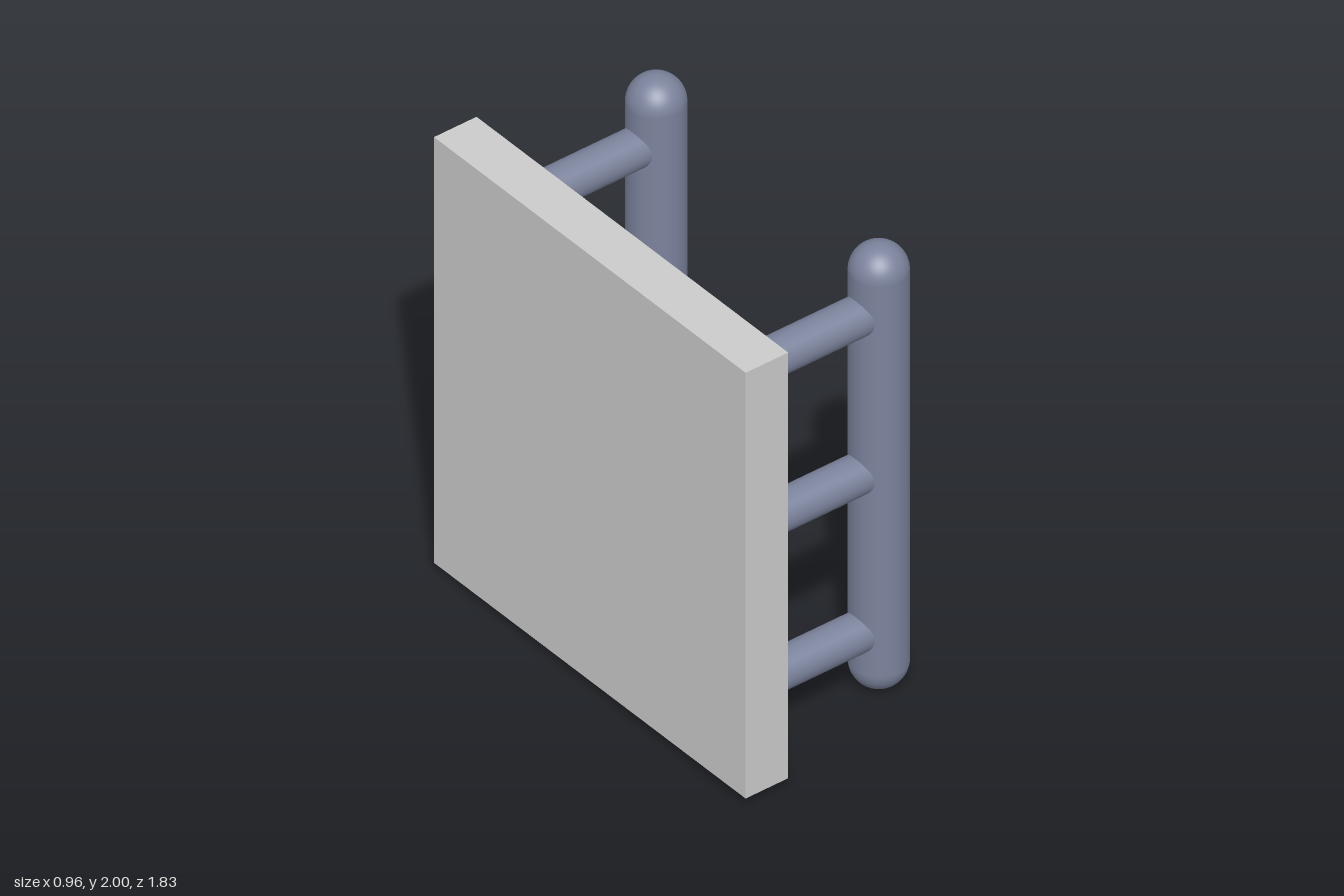
import * as THREE from 'three';

export function createModel() {
  const group = new THREE.Group();
  const grey = new THREE.MeshStandardMaterial({ color: 0xcccccc });
  const blue = new THREE.MeshStandardMaterial({ color: 0x7b839c });

  const add = (name, geometry, material, x, y, z) => {
    const mesh = new THREE.Mesh(geometry, material);
    mesh.name = name;
    mesh.position.set(x, y, z);
    group.add(mesh);
    return mesh;
  };

  // Door panel
  const panelFace = -0.282;
  add('panel', new THREE.BoxGeometry(0.198, 1.94, 1.826), grey, panelFace - 0.099, 1.004, 0);

  // Round-ended upright bars, each held by three standoff posts
  const railX = 0.364, railR = 0.114, postR = 0.08;
  const railGeometry = new THREE.CapsuleGeometry(railR, 2 - 2 * railR, 16, 48);
  const postStart = panelFace - 0.01;
  const postLength = railX - postStart;
  const postGeometry = new THREE.CylinderGeometry(postR, postR, postLength, 40).rotateZ(Math.PI / 2);

  for (const z of [0.63, -0.674]) {
    const side = z > 0 ? 'front' : 'back';
    add(side + 'Bar', railGeometry, blue, railX, 1, z);
    ['Lower', 'Middle', 'Upper'].forEach((level, i) => {
      add(side + level + 'Post', postGeometry, blue, postStart + postLength / 2, 0.277 + i * 0.72, z);
    });
  }
  return group;
}
